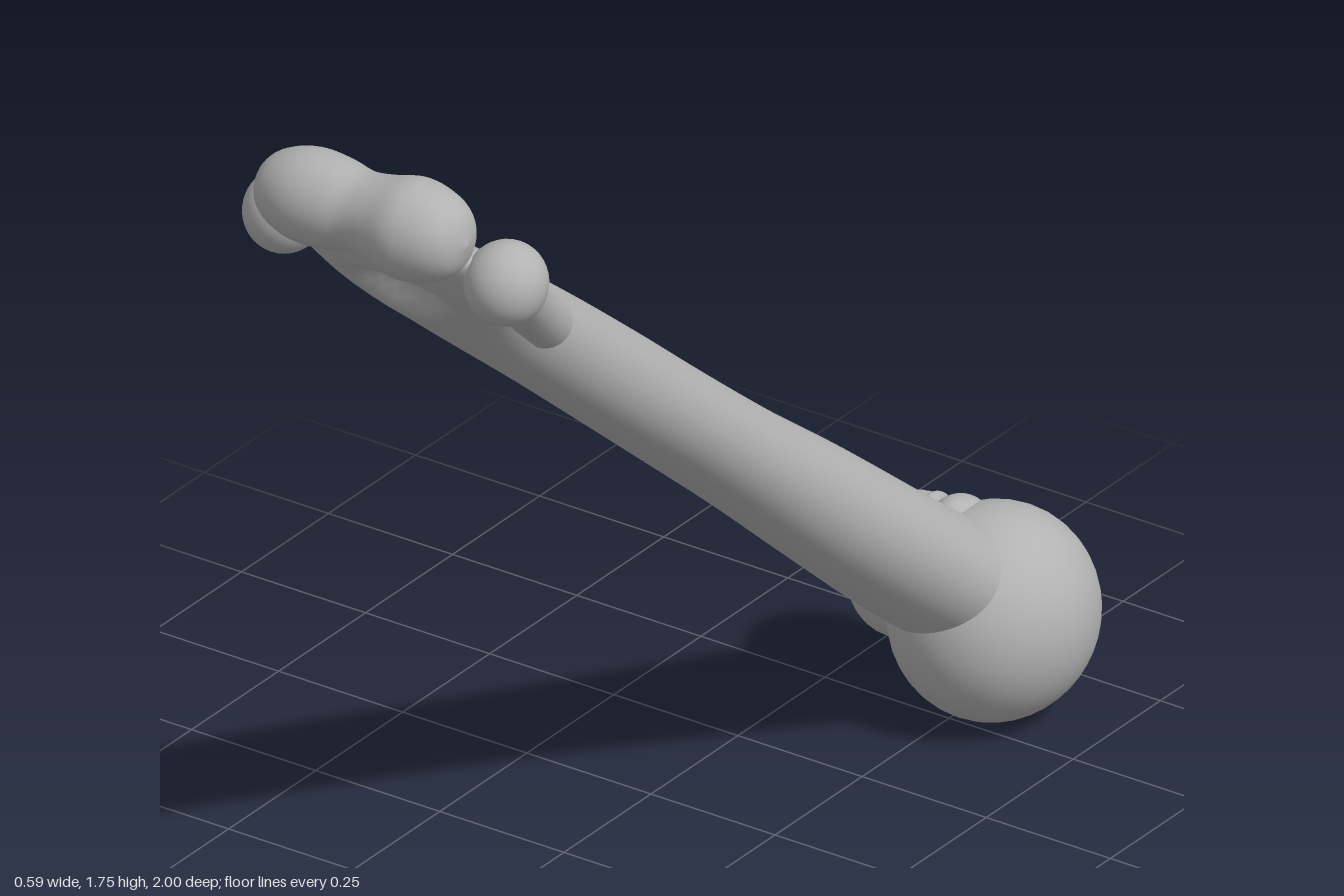
import * as THREE from 'three';

const bone = new THREE.MeshStandardMaterial({ color: 0xb2b2b2 });
bone.name = 'bone grey';

const v = (x, y, z) => new THREE.Vector3(x, y, z);

function add(group, name, geometry) {
  const mesh = new THREE.Mesh(geometry, bone);
  mesh.name = name;
  group.add(mesh);
  return mesh;
}

// Ellipsoid: centre, radii, optional tilt about z
function knob(group, name, centre, radii, tilt = 0) {
  const mesh = add(group, name, new THREE.SphereGeometry(1, 40, 28));
  mesh.position.set(...centre);
  mesh.scale.set(...radii);
  mesh.rotation.z = tilt;
}

// Shaft: rounded cross-sections swept along y, flaring to a hollowed plate
function shaftGeometry() {
  // y, left edge, right edge, back depth, front depth
  const stations = [
    [-1.08, -0.13, 0.12, 0.09, 0.09],
    [-1.0, -0.145, 0.14, 0.108, 0.105],
    [-0.8, -0.14, 0.117, 0.104, 0.108],
    [-0.5, -0.126, 0.086, 0.1, 0.1],
    [-0.25, -0.127, 0.073, 0.091, 0.091],
    [0, -0.128, 0.07, 0.088, 0.088],
    [0.25, -0.113, 0.068, 0.087, 0.088],
    [0.5, -0.105, 0.07, 0.083, 0.088],
    [0.7, -0.11, 0.082, 0.075, 0.09],
    [0.85, -0.14, 0.115, 0.065, 0.09],
    [1.0, -0.195, 0.17, 0.055, 0.085],
    [1.1, -0.215, 0.2, 0.05, 0.06],
    [1.17, -0.18, 0.16, 0.04, 0.04],
  ];
  const width = new THREE.CatmullRomCurve3(stations.map(s => v(s[0], s[1], s[2])), false, 'catmullrom');
  const depth = new THREE.CatmullRomCurve3(stations.map(s => v(s[0], s[3], s[4])), false, 'catmullrom');
  const rows = 110, sides = 56, pos = [], idx = [];
  const dent = (x, y, cy, w, h) => Math.exp(-Math.pow((x / w) ** 2 + ((y - cy) / h) ** 2, 2));
  for (let i = 0; i <= rows; i++) {
    const w = width.getPoint(i / rows), d = depth.getPoint(i / rows);
    for (let j = 0; j < sides; j++) {
      const a = (j / sides) * Math.PI * 2, c = Math.cos(a), s = Math.sin(a);
      const x = (w.y + w.z) / 2 + c * (w.z - w.y) / 2;
      let z = s > 0 ? s * d.z : s * d.y;
      // Hollows above the joint, front and back
      if (s > 0) z -= 0.05 * s * dent(x, w.x, 1.03, 0.08, 0.06);
      else z -= 0.012 * s * dent(x, w.x, 1.06, 0.05, 0.04);
      pos.push(x, w.x, z);
    }
  }
  for (let i = 0; i < rows; i++) {
    for (let j = 0; j < sides; j++) {
      const a = i * sides + j, b = i * sides + (j + 1) % sides;
      idx.push(a, a + sides, b, b, a + sides, b + sides);
    }
  }
  // Close both ends
  [0, rows].forEach(row => {
    const centre = pos.length / 3, start = row * sides;
    pos.push(0, pos[start * 3 + 1], 0);
    for (let j = 0; j < sides; j++) {
      const a = start + j, b = start + (j + 1) % sides;
      if (row) idx.push(centre, b, a); else idx.push(centre, a, b);
    }
  });
  const geometry = new THREE.BufferGeometry();
  geometry.setAttribute('position', new THREE.Float32BufferAttribute(pos, 3));
  geometry.setIndex(idx);
  geometry.computeVertexNormals();
  return geometry;
}

export function createModel() {
  const model = new THREE.Group();
  model.name = 'armBone';

  // Bone built along y, then tilted forward
  const body = new THREE.Group();
  body.name = 'tiltedBone';
  body.position.y = 0.885;
  body.rotation.x = 0.876;
  model.add(body);

  add(body, 'shaft', shaftGeometry());

  // Ball end with its side knobs
  knob(body, 'ballHead', [0.045, -1.071, 0.012], [0.174, 0.187, 0.186]);
  knob(body, 'greaterKnob', [-0.118, -1.041, -0.015], [0.1, 0.115, 0.125], 0.1);
  knob(body, 'lesserKnob', [-0.03, -1.0, -0.09], [0.05, 0.075, 0.06]);
  knob(body, 'smallRidge', [-0.085, -1.0, -0.095], [0.025, 0.065, 0.045], -0.15);

  // Flaring side ridges, each ending in a round knob
  for (const side of [-1, 1]) {
    const name = side > 0 ? 'left' : 'right';
    const shift = side > 0 ? -0.008 : 0.008;
    const path = [[0.068, 0.66], [0.098, 0.79], [0.14, 0.92], [0.19, 1.03], [0.23, 1.09]]
      .map(([x, y]) => v(side * (x + (side > 0 ? 0 : 0.012)), y, -0.006));
    add(body, name + 'Ridge', new THREE.TubeGeometry(new THREE.CatmullRomCurve3(path), 40, 0.045, 20));
    knob(body, name + 'RidgeEnd', path[0].toArray(), [0.045, 0.03, 0.045]);
    knob(body, name + 'SideKnob', [side * 0.231 + shift * side * side, 1.09, 0.004], [0.07, 0.073, 0.073]);
  }

  // Two-lobed joint roller across the top
  const outline = [[0.001, -0.22], [0.035, -0.213], [0.06, -0.19], [0.077, -0.15], [0.082, -0.11],
    [0.078, -0.065], [0.07, -0.02], [0.076, 0.025], [0.087, 0.07], [0.086, 0.105],
    [0.072, 0.15], [0.045, 0.18], [0.001, 0.193]];
  const curve = new THREE.SplineCurve(outline.map(p => new THREE.Vector2(...p)));
  const points = curve.getPoints(48).map(p => new THREE.Vector2(Math.max(p.x, 0.0005), p.y));
  const roller = add(body, 'jointRoller', new THREE.LatheGeometry(points, 40).rotateZ(-Math.PI / 2));
  roller.position.set(0, 1.2, -0.02);

  return model;
}
